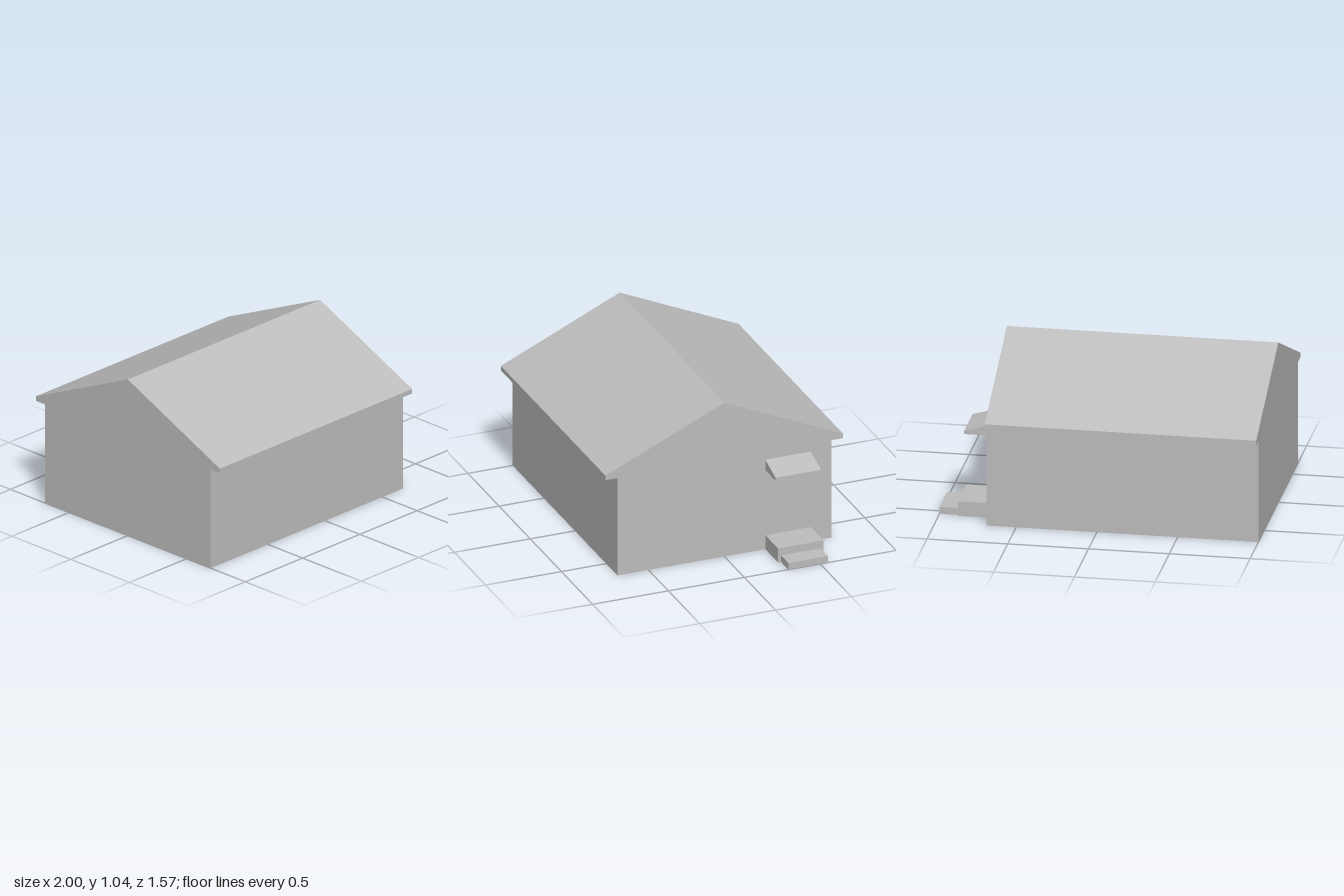
import * as THREE from 'three';

const LEFT = -1, RIGHT = 0.68;

export function createModel() {
  const model = new THREE.Group();
  model.name = 'house';
  const plaster = new THREE.MeshStandardMaterial({ color: 0xbdbdbd, side: THREE.DoubleSide });
  plaster.name = 'plain grey';

  const add = (name, geometry) => {
    const mesh = new THREE.Mesh(geometry, plaster);
    mesh.name = name;
    model.add(mesh);
    return mesh;
  };

  // Flat panels joining consecutive [z, y] points along the length of the house
  const panels = (points) => {
    const pos = [];
    for (let i = 0; i + 1 < points.length; i++) {
      const [z0, y0] = points[i], [z1, y1] = points[i + 1];
      pos.push(LEFT, y0, z0, RIGHT, y0, z0, RIGHT, y1, z1);
      pos.push(LEFT, y0, z0, RIGHT, y1, z1, LEFT, y1, z1);
    }
    const g = new THREE.BufferGeometry();
    g.setAttribute('position', new THREE.Float32BufferAttribute(pos, 3));
    g.computeVertexNormals();
    return g;
  };

  // Half section: wall foot, wall top, soffit edge, eave edge, ridge
  const half = [[0.705, 0], [0.705, 0.657], [0.783, 0.657], [0.783, 0.687], [0, 1.04]];
  const mirrored = half.map(([z, y]) => [-z, y]).reverse();

  // Long walls and hollow roof
  add('frontWall', panels(half.slice(0, 2)));
  add('backWall', panels(mirrored.slice(3)));
  add('frontRoof', panels(half.slice(1)));
  add('backRoof', panels(mirrored.slice(0, 4)));

  // Gable ends, including the ends of the eaves
  const outline = [...half, ...mirrored.slice(1)].map(([z, y]) => new THREE.Vector2(z, y));
  for (const [name, x, turn] of [['leftGable', RIGHT, 1], ['rightGable', LEFT, -1]]) {
    const g = new THREE.ShapeGeometry(new THREE.Shape(outline));
    g.rotateY(turn * Math.PI / 2);
    add(name, g).position.x = x;
  }

  // Narrow corner board
  add('cornerBoard', new THREE.BoxGeometry(0.004, 0.657, 0.007))
    .position.set(RIGHT + 0.002, 0.3285, -0.7015);

  // Hollow steps, open underneath and towards the house
  const step = (name, x0, x1, height, width) => {
    const g = new THREE.BoxGeometry(x1 - x0, height, width);
    const index = Array.from(g.index.array);
    g.setIndex(index.filter((_, i) => i < 6 || (i >= 12 && i < 18) || i >= 24));
    g.clearGroups();
    add(name, g).position.set((x0 + x1) / 2, height / 2, -0.42);
  };
  step('upperStep', RIGHT, 0.883, 0.095, 0.3);
  step('lowerStep', 0.883, 1, 0.045, 0.26);

  // Sloping canopy over the entrance
  const canopy = new THREE.Shape([[RIGHT, 0.535], [0.845, 0.535], [0.845, 0.555], [RIGHT, 0.605]]
    .map(([x, y]) => new THREE.Vector2(x, y)));
  add('canopy', new THREE.ExtrudeGeometry(canopy, { depth: 0.3, bevelEnabled: false }))
    .position.z = -0.57;

  return model;
}
